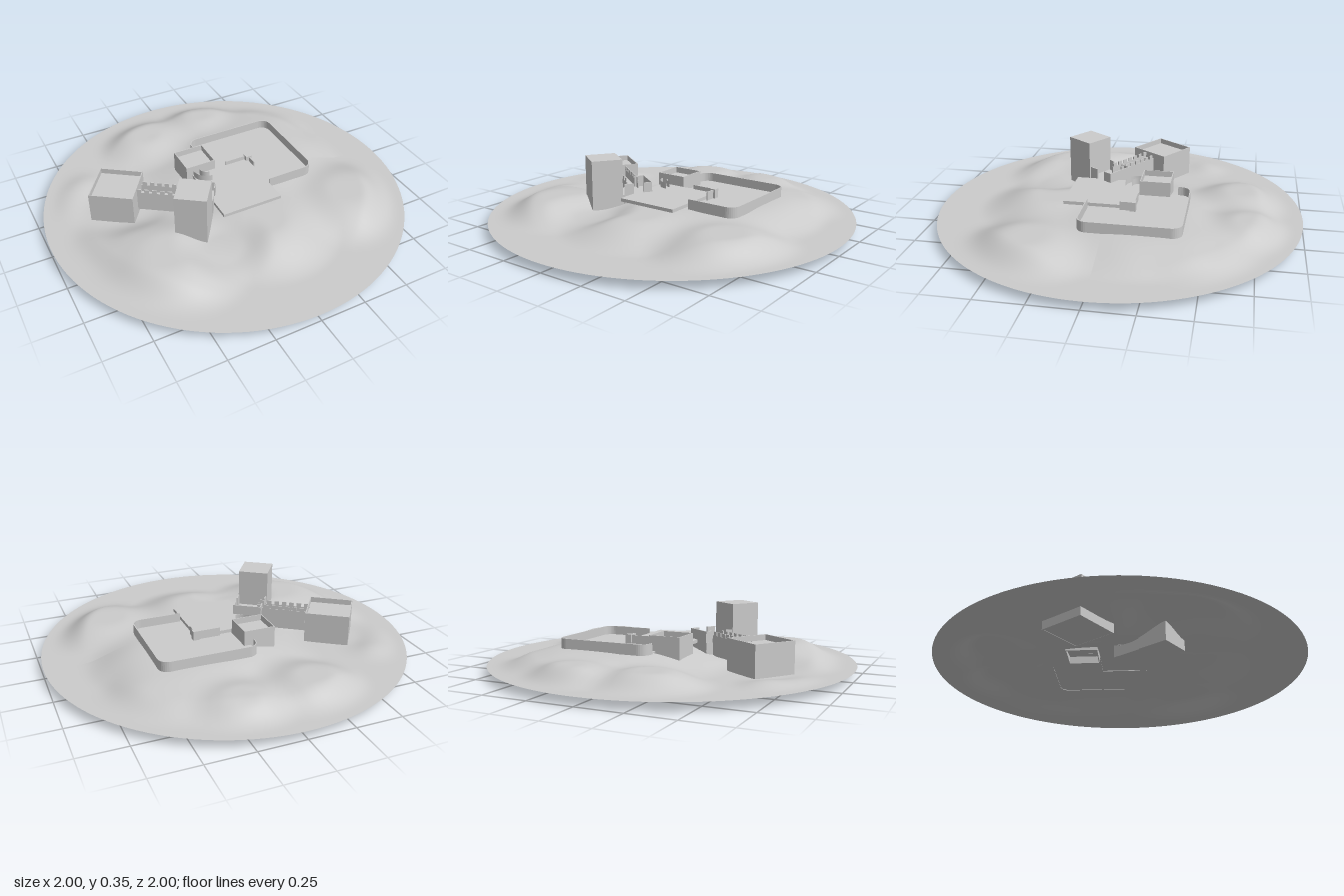
import * as THREE from 'three';

const material = new THREE.MeshStandardMaterial({ color: 0xcccccc, side: THREE.DoubleSide });
const TILT = -0.613; // the old wing is turned about 35 degrees

function add(parent, name, geometry, x = 0, y = 0, z = 0) {
  const mesh = new THREE.Mesh(geometry, material);
  mesh.name = name;
  mesh.position.set(x, y, z);
  parent.add(mesh);
  return mesh;
}

// Box given by its extents
function block(parent, name, x0, x1, y0, y1, z0, z1) {
  return add(parent, name, new THREE.BoxGeometry(x1 - x0, y1 - y0, z1 - z0),
    (x0 + x1) / 2, (y0 + y1) / 2, (z0 + z1) / 2);
}

// Upright wall between two plan points
function wall(parent, name, [ax, az], [bx, bz], y0, y1, t = 0.006) {
  const len = Math.hypot(bx - ax, bz - az);
  const mesh = add(parent, name, new THREE.BoxGeometry(len, y1 - y0, t),
    (ax + bx) / 2, (y0 + y1) / 2, (az + bz) / 2);
  mesh.rotation.y = -Math.atan2(bz - az, bx - ax);
}

// Wall topped with evenly spaced teeth
function toothedWall(parent, name, a, b, y0, y1, count) {
  wall(parent, name, a, b, y0, y1 - 0.02);
  const at = (t) => [a[0] + (b[0] - a[0]) * t, a[1] + (b[1] - a[1]) * t];
  for (let i = 0; i < count; i++) {
    wall(parent, name + 'Tooth', at((i + 0.2) / count), at((i + 0.8) / count), y1 - 0.022, y1);
  }
}

// Hills: x, z, radius, strength
const HILLS = [
  [0.18, -0.12, 0.66, 1], [0.36, -0.2, 0.46, 0.95], [0.05, 0.36, 0.42, 1],
  [-0.5, 0.36, 0.44, 1], [0.58, 0.36, 0.4, 1], [0.2, -0.72, 0.29, 0.9],
  [-0.2, -0.67, 0.32, 0.85], [0.52, -0.52, 0.34, 0.6], [-0.76, -0.36, 0.26, 0.45],
  [-0.7, 0.1, 0.26, 0.4],
];

function groundHeight(x, z) {
  const ramp = THREE.MathUtils.smoothstep;
  let low = 1;
  for (const [hx, hz, r, s] of HILLS) {
    low *= 1 - s * (1 - ramp(Math.hypot(x - hx, z - hz) / r, 0.25, 1));
  }
  // Hollows beside the pavilion and the tower
  const hollow = (hx, hz, r) => ramp(Math.hypot(x - hx, z - hz), r * 0.35, r);
  const rim = 1 - ramp(Math.hypot(x, z), 0.76, 0.97);
  const dip = hollow(-0.6, -0.18, 0.33) * (0.5 + 0.5 * hollow(-0.22, 0.42, 0.26));
  return 0.045 + 0.084 * (1 - low) * rim * dip;
}

function buildTerrain(group) {
  const geometry = new THREE.RingGeometry(0.0005, 1, 120, 60);
  geometry.rotateX(-Math.PI / 2);
  const p = geometry.attributes.position;
  for (let i = 0; i < p.count; i++) p.setY(i, groundHeight(p.getX(i), p.getZ(i)));
  geometry.computeVertexNormals();
  add(group, 'terrain', geometry);
}

// Plan path of the garden wall, shifted inward by d
function gardenPath(d) {
  const x0 = -0.04 + d, x1 = 0.492 - d, z0 = -0.392 + d, z1 = 0.142 - d, r = 0.055 - d;
  const points = [];
  const point = (x, z) => points.push(new THREE.Vector2(x, -z));
  const arc = (cx, cz, start) => {
    for (let i = 0; i <= 8; i++) {
      const t = start - (i / 8) * Math.PI / 2;
      point(cx + r * Math.cos(t), cz + r * Math.sin(t));
    }
  };
  point(0.21, z1);
  arc(x1 - r, z1 - r, Math.PI / 2);
  arc(x1 - r, z0 + r, 0);
  arc(x0 + r, z0 + r, -Math.PI / 2);
  point(x0, -0.32);
  return points;
}

function extrudeUp(points, y0, y1) {
  const geometry = new THREE.ExtrudeGeometry(new THREE.Shape(points), { depth: y1 - y0, bevelEnabled: false });
  geometry.rotateX(-Math.PI / 2);
  return geometry.translate(0, y0, 0);
}

function buildGarden(group) {
  const outline = [...gardenPath(0), ...gardenPath(0.005).reverse()];
  add(group, 'gardenWall', extrudeUp(outline, 0.122, 0.18));
  const lawn = [...gardenPath(0.002), new THREE.Vector2(-0.04, 0.11), new THREE.Vector2(0.21, 0.11)];
  add(group, 'lawn', extrudeUp(lawn, 0.125, 0.131));
}

function buildTerrace(group) {
  block(group, 'terrace', -0.14, 0.205, 0.137, 0.155, -0.11, 0.272);
  block(group, 'terraceWall', 0.07, 0.19, 0.13, 0.178, -0.115, -0.109);
  block(group, 'gatePost', 0.19, 0.225, 0.131, 0.182, -0.123, -0.09);
  block(group, 'gateWall', 0.208, 0.214, 0.131, 0.178, -0.09, -0.035);

  // Curved screens in front of the lodge
  for (const r of [0.078, 0.042]) {
    const geometry = new THREE.CylinderGeometry(r, r, 0.035, 16, 1, true, -Math.PI / 2, Math.PI / 2);
    add(group, 'curvedScreen', geometry, -0.06, 0.172, -0.1);
  }
}

// Open-topped house: four walls and a sunken roof
function walledHouse(parent, name, w, d, y0, y1, roofY) {
  const house = new THREE.Group();
  house.name = name;
  const x = w / 2, z = d / 2, t = 0.005;
  for (const s of [-1, 1]) {
    const xs = s * (x - t / 2), zs = s * (z - t / 2);
    block(house, name + 'SideWall', xs - t / 2, xs + t / 2, y0, y1, -z, z);
    block(house, name + 'EndWall', -x, x, y0, y1, zs - t / 2, zs + t / 2);
  }
  block(house, name + 'Roof', -x + t, x - t, roofY - 0.01, roofY, -z + t, z - t);
  parent.add(house);
  return house;
}

function buildHouses(group) {
  walledHouse(group, 'lodge', 0.175, 0.17, 0.085, 0.213, 0.18).position.set(-0.088, 0, -0.195);

  const pavilion = walledHouse(group, 'pavilion', 0.24, 0.242, 0, 0.215, 0.185);
  pavilion.position.set(-0.569, 0, -0.165);
  pavilion.rotation.y = TILT;
  block(pavilion, 'pavilionFoundation', -0.119, 0.119, 0.001, 0.02, -0.12, 0.12);

  const tower = add(group, 'tower', new THREE.BoxGeometry(0.167, 0.33, 0.168), -0.295, 0.185, 0.23);
  tower.rotation.y = TILT;
}

function buildPassage(group) {
  // Toothed passage between the pavilion and the hall
  toothedWall(group, 'passageWall', [-0.44, -0.125], [-0.21, 0.038], 0.075, 0.208, 7);
  toothedWall(group, 'passageWall', [-0.495, -0.08], [-0.25, 0.09], 0.075, 0.208, 7);
  wall(group, 'passageFloor', [-0.46, -0.1], [-0.24, 0.055], 0.13, 0.145, 0.065);

  // Hall beside the tower, open towards the terrace
  const hall = add(group, 'hallBase', new THREE.BoxGeometry(0.155, 0.128, 0.164), -0.2, 0.084, 0.094);
  hall.rotation.y = TILT;
  const walls = [
    [[-0.245, 0.032], [-0.213, -0.016]], [[-0.213, -0.016], [-0.088, 0.07]],
    [[-0.088, 0.07], [-0.115, 0.11]], [[-0.145, 0.155], [-0.175, 0.2]],
    [[-0.285, 0.088], [-0.31, 0.115]],
  ];
  for (const [a, b] of walls) wall(group, 'hallWall', a, b, 0.1, 0.21);
}

export function createModel() {
  const group = new THREE.Group();
  group.name = 'hillsideEstate';
  buildTerrain(group);
  buildGarden(group);
  buildTerrace(group);
  buildHouses(group);
  buildPassage(group);
  return group;
}
